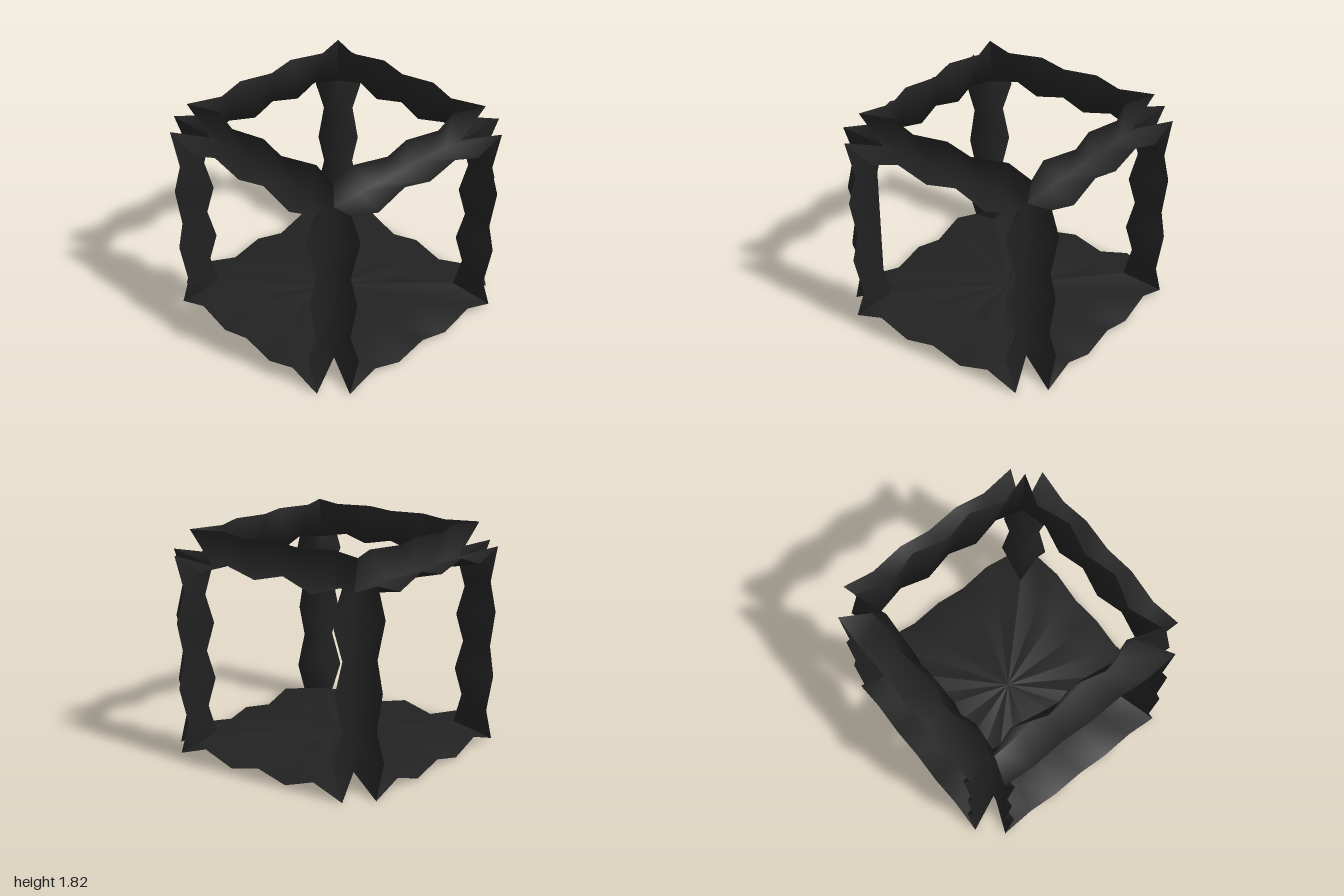
import * as THREE from 'three';

const H = 0.82;      // half length of an edge beam, also the height of the centre
const INNER = 0.855; // crest stations are pulled towards the middle

// Stations along a beam: position t (edges) and s (crest), edge offset w, crest offset n
const stations = [-3, -2, -1, 0, 1, 2, 3].map((i) => {
  const spike = i % 2 !== 0;
  return {
    t: (i / 3) * H,
    s: (i / 3) * H * INNER,
    w: spike ? H : i === 0 ? 0.75 : 0.725,
    n: spike ? 0.70 : 0.745,
    isEnd: Math.abs(i) === 3,
  };
});

// Smooth sheet through edge lines that run side by side
function sheet(...lines) {
  const index = [], rows = lines[0].length;
  for (let c = 0; c < lines.length - 1; c++) {
    for (let r = 0; r < rows - 1; r++) {
      const a = c * rows + r, b = a + rows;
      index.push(a, b, b + 1, a, b + 1, a + 1);
    }
  }
  const g = new THREE.BufferGeometry();
  g.setAttribute('position', new THREE.Float32BufferAttribute(lines.flat(2), 3));
  g.setIndex(index);
  g.computeVertexNormals();
  return g;
}

// Upright beam at the +x +z edge: two ragged flaps folded inwards along a crest
function foldedBeam(straightCrest) {
  return sheet(
    stations.map(({ t, w }) => [w, t, 1]),
    stations.map(({ s, n, isEnd }) => {
      const c = straightCrest && !isEnd ? 0.74 : n;
      return [c, s, c];
    }),
    stations.map(({ t, w }) => [1, t, w]),
  );
}

export function createModel() {
  const model = new THREE.Group();
  const frame = new THREE.Group();
  frame.name = 'raggedCubeFrame';
  frame.position.y = H;
  model.add(frame);

  const charcoal = new THREE.MeshStandardMaterial({ color: 0x222222, side: THREE.DoubleSide });
  charcoal.name = 'charcoal';

  const add = (parent, geometry, name) => {
    const mesh = new THREE.Mesh(geometry, charcoal);
    mesh.name = name;
    parent.add(mesh);
    return mesh;
  };

  const zigzagBeam = foldedBeam(false);
  const straightBeam = foldedBeam(true);

  // Quarter of the floor, from the centre out to the ragged rim
  const floorQuarter = sheet(
    stations.map(() => [0, -0.72, 0]),
    stations.map(({ s, n }) => [s, -n, n]),
    stations.map(({ t, w }) => [t, -w, 1]),
  );

  for (let k = 0; k < 4; k++) {
    const side = new THREE.Group();
    side.name = 'cubeSide';
    side.rotation.y = (k * Math.PI) / 2;
    frame.add(side);

    add(side, k === 3 ? straightBeam : zigzagBeam, 'uprightBeam');
    add(side, zigzagBeam, 'topBeam').rotation.z = Math.PI / 2;
    add(side, floorQuarter, 'floorQuarter');
  }

  return model;
}
